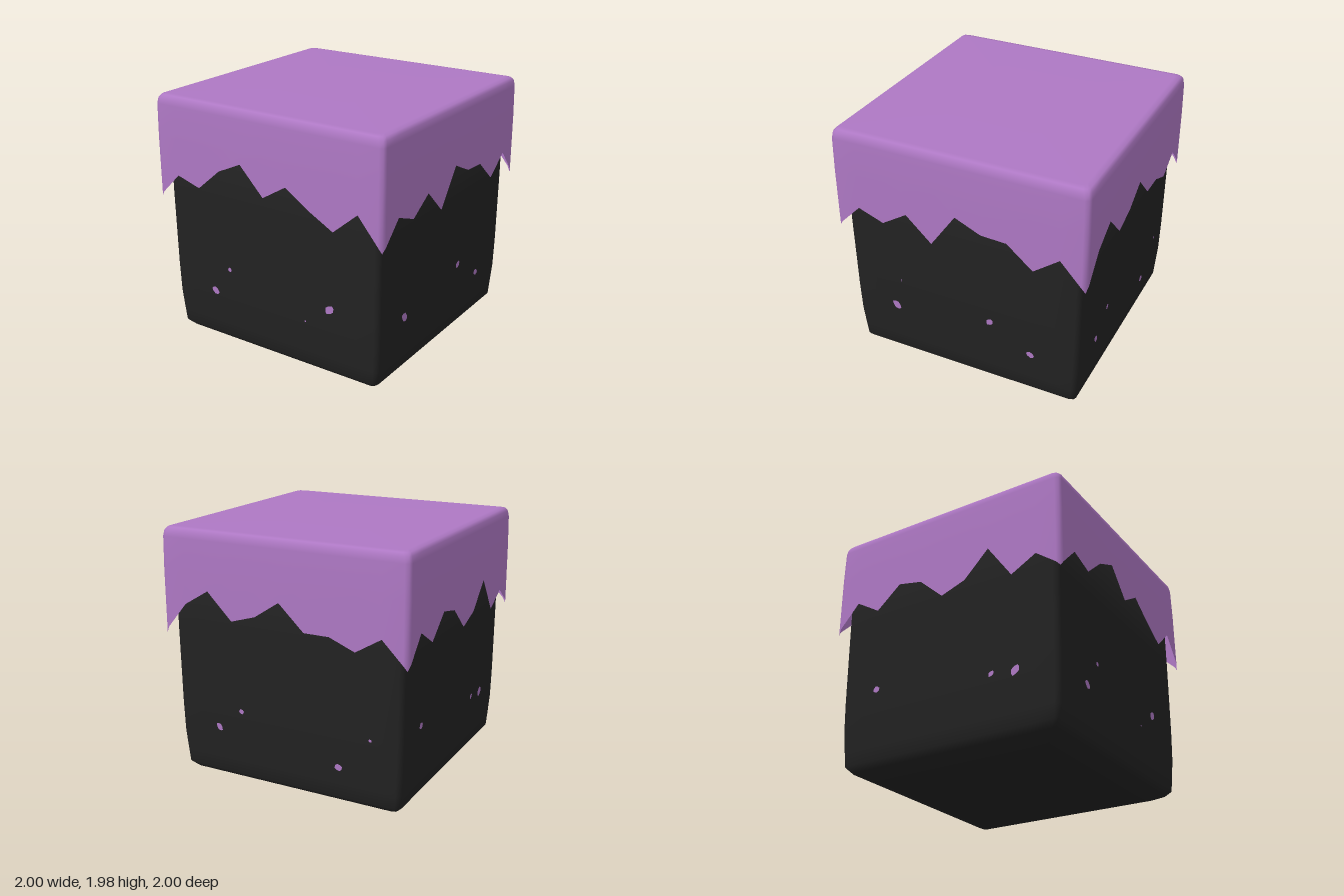
import * as THREE from 'three';

const purple = new THREE.MeshStandardMaterial({ color: 0xae78c4, side: THREE.DoubleSide });
purple.name = 'purple';
const black = new THREE.MeshStandardMaterial({ color: 0x222222 });
black.name = 'black';

// Height of the ragged hem every 0.2 units along each side: front, left, back, right
const CORNER_Y = 1.17;
const HEM = [
  [1.37, 1.31, 1.48, 1.57, 1.36, 1.48, 1.35, 1.24, 1.41],
  [1.37, 1.295, 1.42, 1.23, 1.51, 1.42, 1.41, 1.24, 1.39],
  [1.41, 1.53, 1.33, 1.39, 1.52, 1.33, 1.33, 1.25, 1.37],
  [1.39, 1.27, 1.44, 1.40, 1.22, 1.29, 1.49, 1.21, 1.32],
];

// Square outline with small rounded corners; each point also carries its hem height
function outline(r = 0.04) {
  const points = [];
  for (let k = 0; k < 4; k++) {
    const add = (x, z, hem) => {
      for (let i = 0; i < k; i++) [x, z] = [z, -x];
      points.push({ x, z, hem });
    };
    HEM[k].forEach((hem, i) => add(-0.8 + 0.2 * i, 1, hem));
    const ends = [HEM[k][8], CORNER_Y, HEM[(k + 1) % 4][0]];
    ends.forEach((end, i) => {
      const a = i * Math.PI / 4;
      add(1 - r + r * Math.sin(a), 1 - r + r * Math.cos(a), CORNER_Y + 0.2 * (end - CORNER_Y));
    });
  }
  return points;
}

// Smooth skin through [halfWidth, y] rows from bottom to top; y = null follows the hem
function loft(rows, closeBottom) {
  const ring = outline(), n = ring.length, pos = [], index = [];
  for (const [h, y] of rows) {
    for (const p of ring) pos.push(p.x * h, y === null ? p.hem : y, p.z * h);
  }
  const last = (rows.length - 1) * n, top = rows.length * n;
  pos.push(0, rows[rows.length - 1][1], 0);
  if (closeBottom) pos.push(0, rows[0][1], 0);
  for (let i = 0; i < n; i++) {
    const i2 = (i + 1) % n;
    for (let j = 0; j < last; j += n) {
      index.push(j + i, j + i2, j + n + i2, j + i, j + n + i2, j + n + i);
    }
    index.push(top, last + i, last + i2);
    if (closeBottom) index.push(top + 1, i2, i);
  }
  const g = new THREE.BufferGeometry();
  g.setAttribute('position', new THREE.Float32BufferAttribute(pos, 3));
  g.setIndex(index);
  g.computeVertexNormals();
  return g;
}

const BODY = [
  [0.72, 0], [0.8, 0.018], [0.87, 0.052], [0.91, 0.095], [0.918, 0.2],
  [0.929, 0.36], [0.934, 0.6], [0.938, 1.2], [0.938, 1.88],
];
const COVER = [[1, null], [0.999, 1.65], [0.995, 1.9], [0.987, 1.945], [0.968, 1.968], [0.93, 1.975]];

// Body half width at height y
function bodyHalf(y) {
  const i = BODY.findIndex((row) => row[1] > y);
  const [h0, y0] = BODY[i - 1], [h1, y1] = BODY[i];
  return THREE.MathUtils.mapLinear(y, y0, y1, h0, h1);
}

// Spots on each side: [along side, y, half width, half height, tilt]
const SPOTS = [
  [[-0.545, 0.46, 0.038, 0.028, -0.5], [-0.39, 0.675, 0.018, 0.018, 0], [0.525, 0.6, 0.045, 0.03, 0.8], [0.31, 0.447, 0.008, 0.006, 0]],
  [[-0.58, 0.51, 0.044, 0.031, -0.8], [0.225, 0.62, 0.033, 0.025, 0.8], [0.555, 0.425, 0.034, 0.025, -0.4], [-0.52, 0.765, 0.003, 0.013, 0]],
  [[-0.585, 0.455, 0.036, 0.023, -0.9], [-0.38, 0.615, 0.022, 0.02, 0], [0.434, 0.335, 0.032, 0.027, 0], [0.69, 0.595, 0.014, 0.012, 0]],
  [[-0.617, 0.64, 0.03, 0.025, 0], [0.397, 0.52, 0.027, 0.018, 0.7], [0.59, 0.5, 0.044, 0.03, 0.9]],
];

function spotGeometry(w, h, tilt) {
  const pts = [1, 0.92, 1.05, 0.9, 1.04, 0.9, 1.06, 0.95].map((s, i) => {
    const a = i * Math.PI / 4 + 0.3;
    return new THREE.Vector2(Math.cos(a) * w * s, Math.sin(a) * h * s).rotateAround(new THREE.Vector2(), tilt);
  });
  return new THREE.ShapeGeometry(new THREE.Shape(pts));
}

export function createModel() {
  const model = new THREE.Group();
  model.name = 'drippingBlock';

  const body = new THREE.Mesh(loft(BODY, true), black);
  body.name = 'body';
  const cover = new THREE.Mesh(loft(COVER, false), purple);
  cover.name = 'raggedCover';
  model.add(body, cover);

  // Small flush spots on the four walls
  const sideNames = ['front', 'left', 'back', 'right'];
  SPOTS.forEach((list, k) => {
    const side = new THREE.Group();
    side.name = sideNames[k] + 'Spots';
    side.rotation.y = k * Math.PI / 2;
    for (const [t, y, w, h, tilt] of list) {
      const spot = new THREE.Mesh(spotGeometry(w, h, tilt), purple);
      spot.name = 'spot';
      spot.position.set(t, y, bodyHalf(y) + 0.004);
      side.add(spot);
    }
    model.add(side);
  });
  return model;
}
